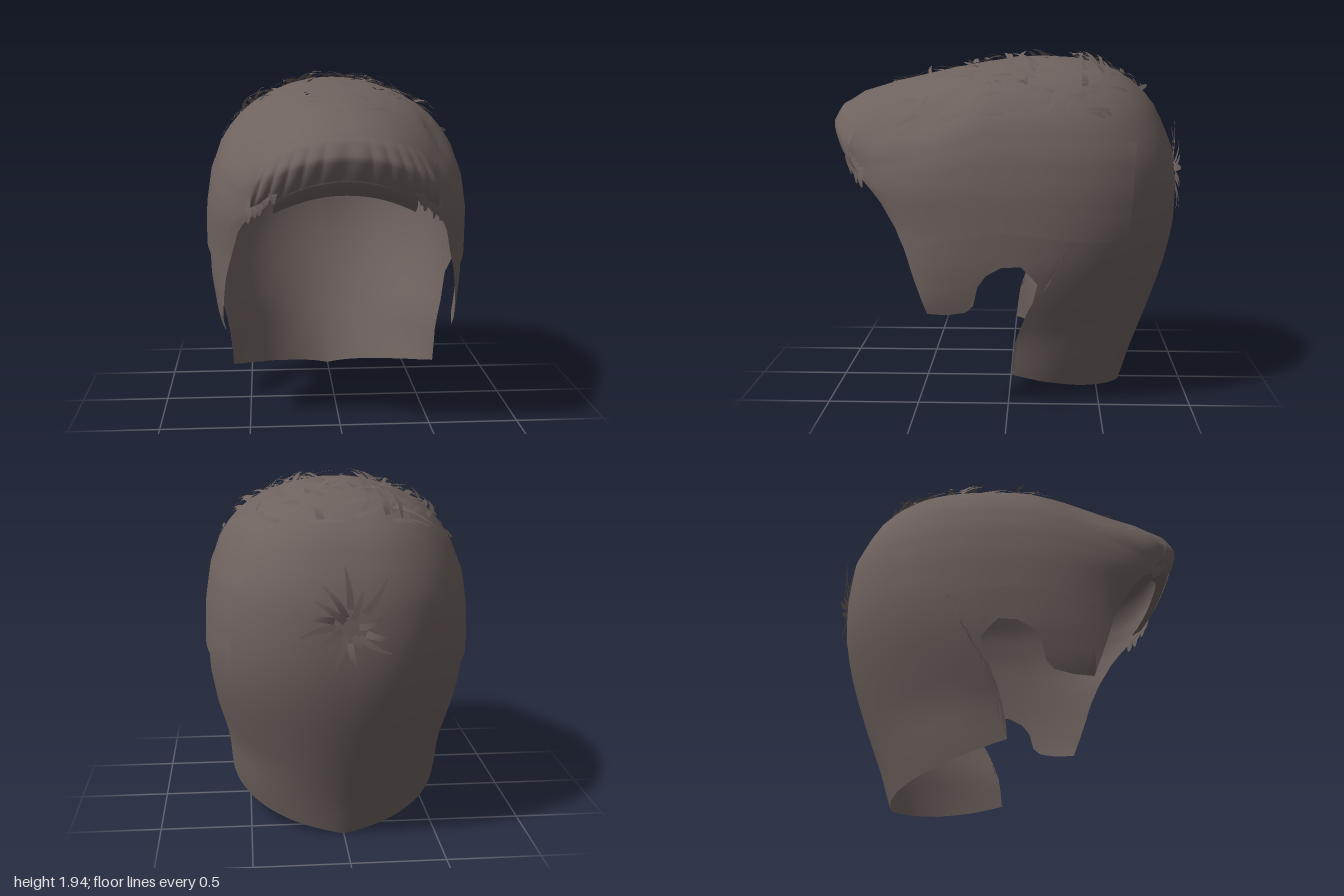
import * as THREE from 'three';

const V = (x, y, z) => new THREE.Vector3(x, y, z);
const { lerp, clamp, smoothstep } = THREE.MathUtils;

// Horizontal sections: y, half width, front z, back z
const SECTIONS = [
  [0, .55, .6, -.64], [.2, .6, .7, -.7], [.4, .62, .85, -.775], [.6, .68, .92, -.845],
  [.8, .715, .87, -.905], [1, .725, .86, -.94], [1.2, .725, .92, -.94], [1.4, .7, .95, -.915],
  [1.55, .65, .985, -.85], [1.63, .6, .95, -.81], [1.7, .54, .84, -.755], [1.76, .465, .64, -.69],
  [1.82, .355, .38, -.6], [1.86, .25, .18, -.49], [1.89, .13, -.02, -.36], [1.9, .001, -.18, -.182],
];

function section(y) {
  let i = 0;
  while (i < SECTIONS.length - 2 && y > SECTIONS[i + 1][0]) i++;
  const A = SECTIONS[i], B = SECTIONS[i + 1];
  const k = clamp((y - A[0]) / (B[0] - A[0]), 0, 1);
  const [w, f, b] = [1, 2, 3].map(j => lerp(A[j], B[j], k));
  return { w, c: (f + b) / 2, a: (f - b) / 2 };
}

const spow = (v, e) => Math.sign(v) * Math.abs(v) ** e;
// Sections are square at the front and more pointed towards the nape
const squareness = (front, y) => (front >= 0
  ? 2.5 - .25 * smoothstep(y, 1.6, 1.78)
  : Math.min(2.45, 1.8 + .5 * y));

// Point on the head of hair: t = 0 front, PI back, positive t on the +x side
function surf(t, y, off = 0) {
  const { w, c, a } = section(y), e = 2 / squareness(Math.cos(t), y);
  // Shallow valley behind the quiff on each side
  const d = off - .03 * Math.exp(-(((Math.abs(t) - 1.25) / .2) ** 2) - ((y - 1.64) / .1) ** 2);
  const x = (w + d) * spow(Math.sin(t), e), z = c + (a + d) * spow(Math.cos(t), e);
  // The quiff arches down towards its sides
  const sag = .15 * smoothstep(z, .05, .8) * smoothstep(y, 1.15, 1.5) * Math.min(1, (x / .5) ** 2);
  return V(x, y - sag, z);
}

function angleAt(z, y) {
  const { c, a } = section(y);
  return Math.acos(spow(clamp((z - c) / a, -1, 1), squareness(z - c, y) / 2));
}

function normalAt(t, y) {
  const e = .004;
  const dt = surf(t + e, y).sub(surf(t - e, y)), dy = surf(t, y + e).sub(surf(t, y - e));
  const n = dt.cross(dy).normalize();
  return n.dot(surf(t, y).sub(V(0, 1, 0))) < 0 ? n.negate() : n;
}

// Surface through rows of points
function gridGeometry(rows, closed = false) {
  const n = rows[0].length, idx = [];
  for (let r = 0; r < rows.length - 1; r++)
    for (let i = 0; i < (closed ? n : n - 1); i++) {
      const a = r * n + i, b = r * n + (i + 1) % n;
      idx.push(a, b, b + n, a, b + n, a + n);
    }
  const g = new THREE.BufferGeometry().setFromPoints(rows.flat());
  g.setIndex(idx);
  g.computeVertexNormals();
  return g;
}

// Lower rim of one half, front centre to back centre: [angle, y], then [z, y]
const FRINGE = [[0, 1.43], [.2, 1.42], [.456, 1.39]];
const SIDE = [
  [.8, 1.3], [.68, 1.13], [.6, 1], [.55, .89], [.515, .78], [.48, .68], [.452, .6], [.43, .54],
  [.32, .54], [.22, .56], [.18, .6], [.16, .7], [.11, .77], [.03, .815], [-.07, .82], [-.16, .72],
  [-.13, .6], [-.115, .49], [-.085, .44], [-.06, .3], [-.02, .2], [-.2, .145], [-.4, .09], [-.55, .05],
];

function rimHalf() {
  const key = [...FRINGE, ...SIDE.map(([z, y]) => [angleAt(z, y), y]), [Math.PI, 0]];
  const out = [];
  for (let i = 0; i < key.length - 1; i++) {
    const [t0, y0] = key[i], [t1, y1] = key[i + 1];
    const n = Math.max(2, Math.ceil(Math.abs(t1 - t0) / .06));
    for (let k = 0; k < n; k++) out.push({ t: lerp(t0, t1, k / n), y: lerp(y0, y1, k / n) });
  }
  out.push({ t: Math.PI, y: 0 });
  // Angle each column reaches where the rim meets the crown
  let len = 0;
  out.forEach((p, i) => {
    if (i) len += surf(p.t, p.y).distanceTo(surf(out[i - 1].t, out[i - 1].y));
    p.len = len;
  });
  out.forEach(p => { p.top = lerp(p.t, p.len / len * Math.PI, .6); });
  return out;
}

function shellGeometry() {
  const half = rimHalf();
  const loop = [...half, ...half.slice(1, -1).reverse().map(p => ({ ...p, t: -p.t, top: -p.top }))];
  const rows = [], base = 1.5, lower = 14;
  for (let r = 0; r <= lower; r++) {
    const s = r / lower;
    rows.push(loop.map(p => surf(lerp(p.t, p.top, s), lerp(p.y, base, s))));
  }
  for (const y of [1.55, 1.59, 1.63, 1.67, 1.7, 1.73, 1.76, 1.79, 1.82, 1.84, 1.86, 1.875, 1.89, 1.9])
    rows.push(loop.map(p => surf(p.top, y)));
  return gridGeometry(rows, true);
}

// Layer of longer hair over each temple
function sidePanelGeometry(s) {
  const low = [[.47, .91], [.3, .96], [0, 1], [-.3, .96], [-.63, .93]];
  const rows = [];
  for (let v = 0; v <= 8; v++) {
    const k = v / 8, row = [];
    for (let u = 0; u <= 24; u++) {
      const f = u / 6, i = Math.min(3, Math.floor(f));
      const z0 = lerp(low[i][0], low[i + 1][0], f - i), y0 = lerp(low[i][1], low[i + 1][1], f - i);
      const y = lerp(y0, 1.46, k), z = lerp(z0, lerp(.86, -.68, u / 24), k);
      row.push(surf(s * angleAt(z, y), y, .014 - .012 * k));
    }
    rows.push(s > 0 ? row.reverse() : row);
  }
  return gridGeometry(rows);
}

// Scalloped roll of locks along the fringe, thicker at its ends
function fringeRollGeometry() {
  const rows = [];
  for (let v = 0; v <= 12; v++) {
    const k = v / 12, row = [];
    for (let u = -48; u <= 48; u++) {
      const q = u / 48, t = q * .64;
      const lump = .3 + .7 * Math.abs(Math.sin(q * 16 + k * q * 2)) + 1.2 * q * q;
      row.push(surf(t, lerp(1.435 - .1 * q * q, 1.65, k), .003 + .016 * lump * Math.sin(Math.PI * k)));
    }
    rows.push(row);
  }
  return gridGeometry(rows);
}

// Collects flat tapered blades of hair in one geometry
function bladeSet() {
  const pos = [], idx = [];
  return {
    add(p, n, d, len, width, lift, bend = 0) {
      const side = n.clone().cross(d).normalize(), segs = 4;
      for (let i = 0; i <= segs; i++) {
        const s = i / segs, w = width * (1 - .75 * s * s) / 2;
        const c = p.clone().addScaledVector(d, len * s)
          .addScaledVector(n, .006 + lift * Math.sin(s * 2.4)).addScaledVector(side, bend * s * s);
        const a = pos.length;
        pos.push(c.clone().addScaledVector(side, -w), c.clone().addScaledVector(side, w));
        if (i < segs) idx.push(a, a + 1, a + 3, a, a + 3, a + 2);
      }
    },
    geometry() {
      const g = new THREE.BufferGeometry().setFromPoints(pos);
      g.setIndex(idx);
      g.computeVertexNormals();
      return g;
    },
  };
}

export function createModel() {
  const group = new THREE.Group();
  const material = new THREE.MeshStandardMaterial({ color: 0x6e625e, side: THREE.DoubleSide });
  const add = (name, geometry) => {
    const m = new THREE.Mesh(geometry, material);
    m.name = name;
    group.add(m);
  };
  let seed = 7;
  const rnd = (a, b) => {
    seed = (seed * 16807) % 2147483647;
    return lerp(a, b, seed / 2147483647);
  };
  const tangent = (d, n) => d.addScaledVector(n, -d.dot(n)).normalize();

  add('hairShell', shellGeometry());
  add('leftSidePanel', sidePanelGeometry(1));
  add('rightSidePanel', sidePanelGeometry(-1));
  add('fringeRoll', fringeRollGeometry());

  // Band curling under the fringe
  const band = [[], [], []];
  for (let i = -12; i <= 12; i++) {
    const q = i / 12, p = surf(q * .456, 1.43 - .04 * q * q);
    band.forEach((row, k) => row.unshift(p.clone().add(V(0, -.04 * k, -.02 * k * k))));
  }
  add('fringeUnderside', gridGeometry(band));

  // Lock tips hanging at the ends of the fringe
  const tips = bladeSet();
  for (const s of [-1, 1])
    for (let i = 0; i < 5; i++) {
      const t = s * (.47 + .05 * i), y = 1.48 - .012 * i, n = normalAt(t, y);
      tips.add(surf(t, y), n, tangent(V(s * .25, -1, 0), n), rnd(.09, .12), .06, .012, rnd(-.02, .02));
    }
  add('fringeTips', tips.geometry());

  // Loose tufts swept across the crown
  const tufts = bladeSet();
  for (let i = 0; i < 150; i++) {
    const t = rnd(-Math.PI, Math.PI), y = rnd(1.7, 1.89), n = normalAt(t, y), p = surf(t, y);
    if (p.z > .6) continue;
    const d = tangent(V(rnd(-1, 1), 0, rnd(-.2, .9)), n);
    tufts.add(p, n, d, rnd(.09, .19), rnd(.02, .04), rnd(.005, .03), rnd(-.05, .05));
  }
  // Sparse strands on the upper sides
  for (let i = 0; i < 40; i++) {
    const t = (i % 2 ? 1 : -1) * rnd(.8, 2.3), y = rnd(1.58, 1.74), n = normalAt(t, y);
    const d = tangent(V(0, rnd(-.7, .1), 1), n);
    tufts.add(surf(t, y), n, d, rnd(.08, .15), .025, .008, rnd(-.03, .03));
  }
  add('crownTufts', tufts.geometry());

  // Whorl on the back of the head
  const whorl = bladeSet(), n = V(0, .05, -1).normalize();
  for (let i = 0; i < 16; i++) {
    const a = i / 16 * Math.PI * 2, d = tangent(V(Math.cos(a), Math.sin(a), 0), n);
    const p = V(0, 1.23, -.935).addScaledVector(d, rnd(.03, .1));
    whorl.add(p, n, d, rnd(.1, .22), .035, rnd(.005, .025), rnd(.01, .05));
  }
  add('backWhorl', whorl.geometry());
  return group;
}
